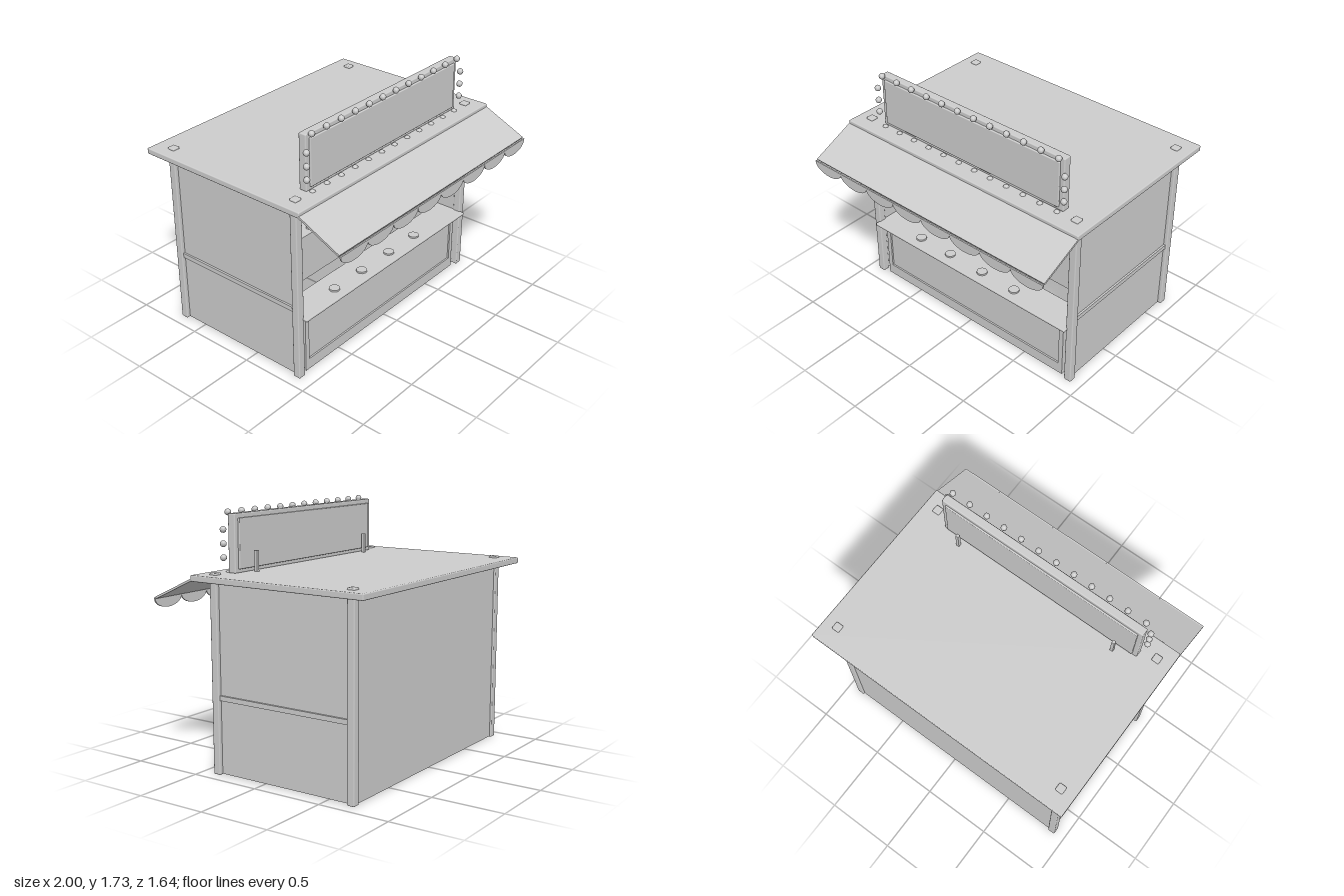
import * as THREE from 'three';
import { RoundedBoxGeometry } from 'three/addons/geometries/RoundedBoxGeometry.js';

export function createModel() {
  const stall = new THREE.Group();
  stall.name = 'marketStall';
  const grey = new THREE.MeshStandardMaterial({ color: 0xcccccc });
  grey.name = 'plainGrey';

  const add = (name, geometry, x = 0, y = 0, z = 0) => {
    const mesh = new THREE.Mesh(geometry, grey);
    mesh.name = name;
    mesh.position.set(x, y, z);
    stall.add(mesh);
    return mesh;
  };
  // Box from its limits on each axis, with an optional rounded edge
  const box = (name, [x0, x1], [y0, y1], [z0, z1], r = 0) => {
    const size = [x1 - x0, y1 - y0, z1 - z0];
    const geometry = r ? new RoundedBoxGeometry(...size, 2, r) : new THREE.BoxGeometry(...size);
    return add(name, geometry, (x0 + x1) / 2, (y0 + y1) / 2, (z0 + z1) / 2);
  };
  const mid = (c, w) => [c - w / 2, c + w / 2];

  // Corner posts, poking through the roof
  for (const x of [-0.895, 0.895])
    for (const z of [-0.68, 0.38]) box('cornerPost', mid(x, 0.055), [0, 1.335], mid(z, 0.055), 0.008);

  // Roof and walls
  box('roof', [-1, 1], [1.28, 1.322], [-0.82, 0.5], 0.008);
  box('backWall', [-0.88, 0.88], [0.005, 1.28], [-0.695, -0.675]);
  for (const s of [-1, 1]) {
    box('sideWall', mid(s * 0.886, 0.02), [0.005, 1.28], [-0.67, 0.37]);
    box('sideRail', mid(s * 0.9, 0.02), [0.502, 0.535], [-0.655, 0.355]);
  }

  // Front counter with a framed panel
  box('counterPanel', [-0.83, 0.83], [0, 0.44], [0.35, 0.37]);
  box('panelFrameTop', [-0.83, 0.83], [0.4, 0.44], [0.37, 0.382]);
  box('panelFrameBottom', [-0.83, 0.83], [0, 0.08], [0.37, 0.382]);
  for (const s of [-1, 1]) box('panelFrameSide', mid(s * 0.8125, 0.035), [0.08, 0.4], [0.37, 0.382]);
  box('counterTop', [-0.88, 0.88], [0.442, 0.462], [0.2, 0.442], 0.007);
  for (const x of [-0.5, -0.215, 0.085, 0.375])
    add('counterDisc', new THREE.CylinderGeometry(0.037, 0.037, 0.012, 16), x, 0.468, 0.35);

  // Back cabinet with a row of taps
  box('backCabinet', [-0.55, 0.55], [0, 0.37], [-0.55, -0.34]);
  for (let i = 0; i < 6; i++)
    add('tap', new THREE.CylinderGeometry(0.02, 0.02, 0.13, 10), (i - 2.5) * 0.184, 0.435, -0.4);

  // Wall shelves on brackets
  for (const y of [0.718, 0.985]) {
    box('shelf', [-0.81, 0.81], mid(y, 0.016), [-0.675, -0.5], 0.005);
    for (const x of [-0.665, 0, 0.665]) box('shelfBracket', mid(x, 0.012), [y - 0.075, y - 0.008], [-0.675, -0.54]);
  }

  // Sloping awning
  const slope = new THREE.Shape([
    new THREE.Vector2(0.49, 1.302), new THREE.Vector2(0.49, 1.286),
    new THREE.Vector2(0.803, 1.142), new THREE.Vector2(0.809, 1.155),
  ]);
  const awning = new THREE.ExtrudeGeometry(slope, { depth: 2, bevelEnabled: false });
  awning.rotateY(-Math.PI / 2); // profile x becomes z
  add('awning', awning, 1, 0, 0);

  // Scalloped valance
  const edge = new THREE.Shape();
  edge.moveTo(1, 1.148);
  edge.lineTo(-1, 1.148);
  edge.lineTo(-1, 1.14);
  for (let i = 0; i < 8; i++) edge.absellipse(-0.875 + i * 0.25, 1.14, 0.125, 0.068, Math.PI, 2 * Math.PI, false);
  edge.lineTo(1, 1.148);
  add('valance', new THREE.ExtrudeGeometry(edge, { depth: 0.01, bevelEnabled: false, curveSegments: 16 }), 0, 0, 0.812);

  // Sign board, its raised panel and rear supports
  box('signBoard', [-0.78, 0.78], [1.32, 1.705], [0.31, 0.367], 0.008);
  box('signPanel', [-0.748, 0.748], [1.345, 1.675], [0.298, 0.379], 0.006);
  for (const s of [-1, 1]) box('signSupport', mid(s * 0.625, 0.022), [1.32, 1.46], mid(0.26, 0.022));

  // Bulbs around the sign
  const bulbGeometry = new THREE.SphereGeometry(0.022, 8, 6);
  const bulb = (x, y) => add('bulb', bulbGeometry, x, y, 0.39);
  for (let i = 0; i < 12; i++) {
    const x = -0.75 + (i * 1.5) / 11;
    bulb(x, 1.71);
    bulb(x, 1.315);
  }
  for (const s of [-1, 1]) for (const y of [1.42, 1.51, 1.602]) bulb(s * 0.8, y);

  return stall;
}
